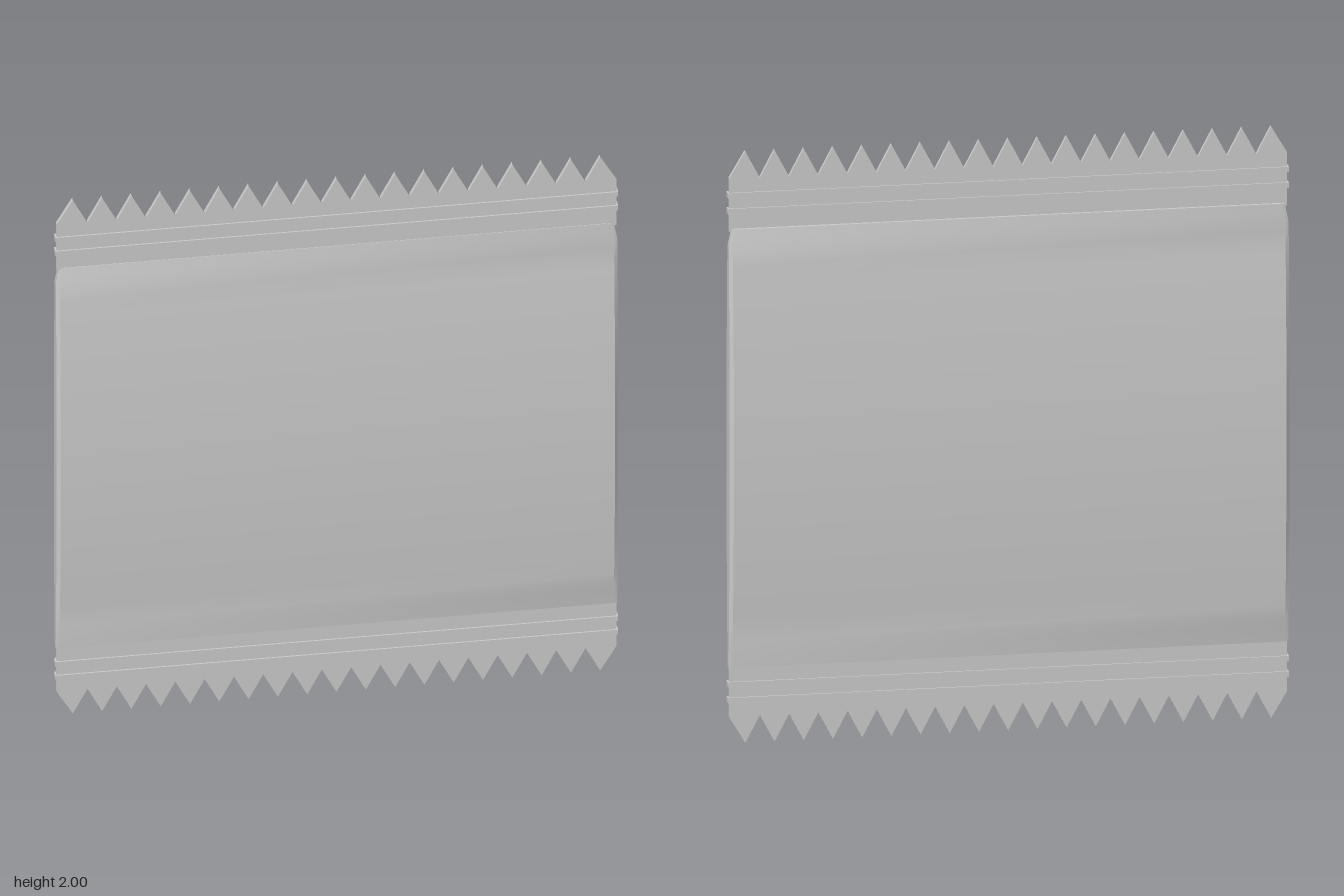
import * as THREE from 'three';
import { toCreasedNormals } from 'three/addons/utils/BufferGeometryUtils.js';

const material = new THREE.MeshStandardMaterial({ color: 0xcccccc });
const HALF_W = 0.92, MID_Y = 1, BODY_H = 0.74, SEAL_Z = 0.004;

// Lens-shaped pouch: eight-sided cross-sections stacked from bottom to top
function pouchGeometry() {
  const rows = 32, sides = 8, pos = [], index = [];
  for (let j = 0; j <= rows; j++) {
    const t = -Math.cos((j / rows) * Math.PI);
    const y = MID_Y + t * BODY_H;
    const h = 0.014 + 0.031 * (1 - t * t);
    const pinch = 0.012 * Math.max(0, (t - 0.92) / 0.08);
    const x = HALF_W - pinch, xi = x - 0.012, hi = h * 0.72;
    const ring = [[x, -hi], [x, hi], [xi, h], [-xi, h], [-x, hi], [-x, -hi], [-xi, -h], [xi, -h]];
    for (const [px, pz] of ring) pos.push(px, y, pz);
  }
  for (let j = 0; j < rows; j++) {
    for (let i = 0; i < sides; i++) {
      const a = j * sides + i, b = j * sides + ((i + 1) % sides);
      index.push(a, a + sides, b, b, a + sides, b + sides);
    }
  }
  // End caps
  const top = rows * sides;
  for (let i = 1; i < sides - 1; i++) {
    index.push(0, i, i + 1, top, top + i + 1, top + i);
  }
  // The rings run clockwise seen from above, so the winding is reversed
  for (let k = 0; k < index.length; k += 3) {
    const swap = index[k + 1];
    index[k + 1] = index[k + 2];
    index[k + 2] = swap;
  }
  const g = new THREE.BufferGeometry();
  g.setAttribute('position', new THREE.Float32BufferAttribute(pos, 3));
  g.setIndex(orientOutward(pos, index));
  return toCreasedNormals(g, 0.5);
}

// Turn every triangle of the convex pouch away from its centre
function orientOutward(pos, index) {
  const p = (i) => new THREE.Vector3(pos[3 * i], pos[3 * i + 1] - MID_Y, pos[3 * i + 2]);
  for (let k = 0; k < index.length; k += 3) {
    const a = p(index[k]), b = p(index[k + 1]), c = p(index[k + 2]);
    const n = b.clone().sub(a).cross(c.clone().sub(a));
    if (n.dot(a.add(b).add(c)) < 0) [index[k + 1], index[k + 2]] = [index[k + 2], index[k + 1]];
  }
  return index;
}

// Flat strip with a zigzag-cut outer edge, measured up from the middle
function sealGeometry() {
  const teeth = 19, pitch = 0.096, w = 0.917, depth = 0.016;
  const s = new THREE.Shape();
  s.moveTo(-w, 0.73);
  s.lineTo(w, 0.73);
  s.lineTo(w, 0.91);
  for (let i = 0; i < teeth; i++) {
    const x = ((teeth - 1) / 2 - i) * pitch;
    s.lineTo(x, 1);
    if (i < teeth - 1) s.lineTo(x - pitch / 2, 0.908);
  }
  s.lineTo(-w, 0.91);
  s.closePath();
  return new THREE.ExtrudeGeometry(s, { depth, bevelEnabled: false }).translate(0, 0, SEAL_Z - depth / 2);
}

export function createModel() {
  const group = new THREE.Group();
  const add = (parent, name, geometry) => {
    const mesh = new THREE.Mesh(geometry, material);
    mesh.name = name;
    parent.add(mesh);
    return mesh;
  };

  add(group, 'pouch', pouchGeometry());

  // Crimped seals, the lower one turned upside down
  for (const [name, turn] of [['topSeal', 0], ['bottomSeal', Math.PI]]) {
    const seal = new THREE.Group();
    seal.name = name;
    add(seal, 'zigzagStrip', sealGeometry());
    for (const y of [0.8, 0.853]) {
      add(seal, 'crimpRib', new THREE.BoxGeometry(2 * HALF_W + 0.004, 0.018, 0.026)).position.set(0, y, SEAL_Z);
    }
    seal.rotation.z = turn;
    seal.position.y = MID_Y;
    group.add(seal);
  }
  return group;
}
